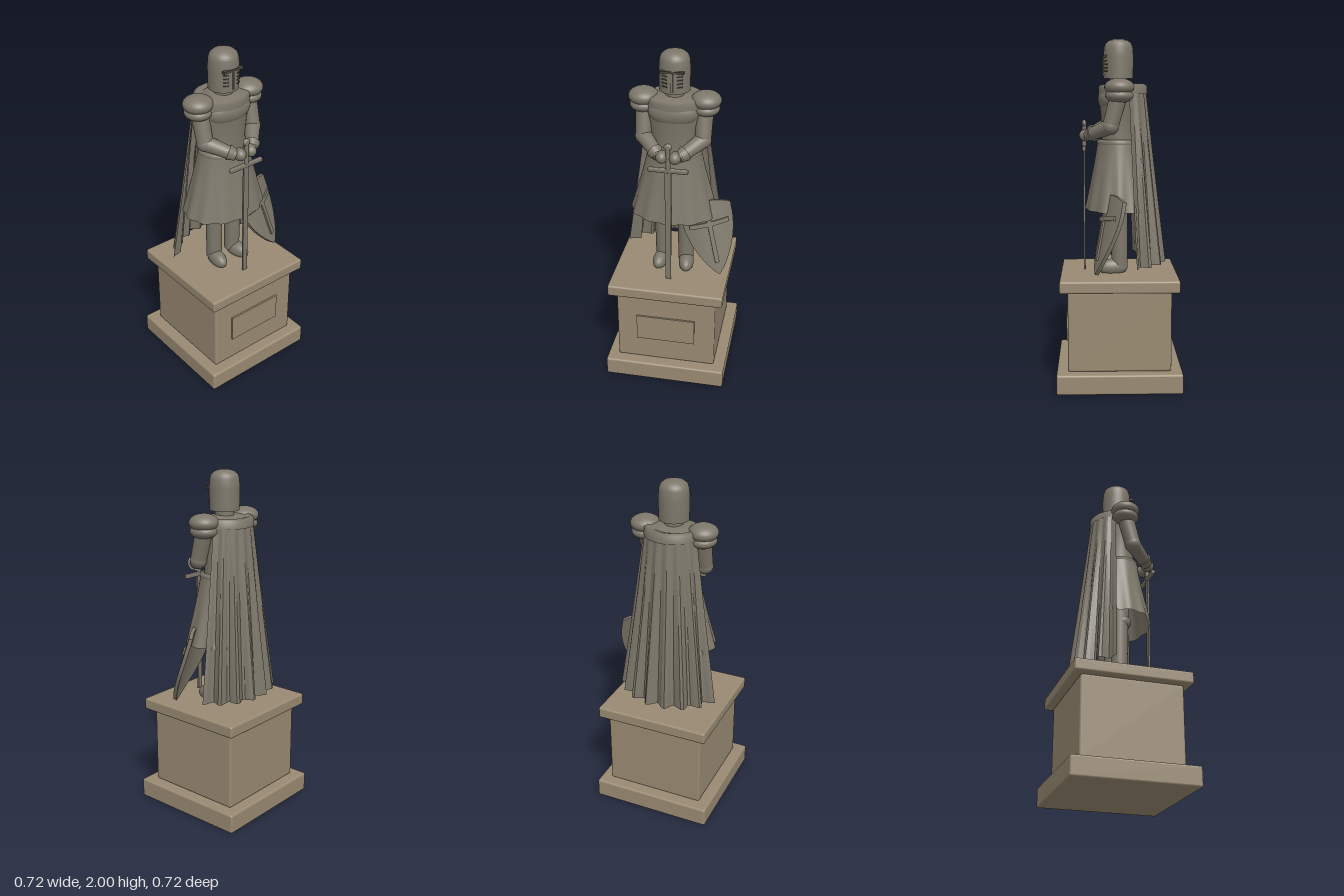
import * as THREE from 'three';
import { RoundedBoxGeometry } from 'three/addons/geometries/RoundedBoxGeometry.js';

const stone = new THREE.MeshStandardMaterial({ color: 0x998a72 });
const bronze = new THREE.MeshStandardMaterial({ color: 0x7d776a });
const dark = new THREE.MeshStandardMaterial({ color: 0x4c483f });
const cloth = new THREE.MeshStandardMaterial({ color: 0x7d776a, side: THREE.DoubleSide });
const clothFlat = cloth.clone();
clothFlat.flatShading = true;

const V = (x, y, z) => new THREE.Vector3(x, y, z);

function add(parent, name, geometry, material, x = 0, y = 0, z = 0) {
  const mesh = new THREE.Mesh(geometry, material);
  mesh.name = name;
  mesh.position.set(x, y, z);
  parent.add(mesh);
  return mesh;
}

const box = (w, h, d) => new THREE.BoxGeometry(w, h, d);
const ball = (rx, ry, rz) => new THREE.SphereGeometry(1, 28, 18).scale(rx, ry, rz);
const lathe = (points, segments = 40) =>
  new THREE.LatheGeometry(points.map(([r, y]) => new THREE.Vector2(r, y)), segments);

// Tapered round limb from a to b
function limb(parent, name, a, b, ra, rb) {
  const mesh = add(parent, name, new THREE.CylinderGeometry(rb, ra, a.distanceTo(b), 24), bronze);
  mesh.position.copy(a).add(b).multiplyScalar(0.5);
  mesh.quaternion.setFromUnitVectors(V(0, 1, 0), b.clone().sub(a).normalize());
  return mesh;
}

// Move every vertex of a geometry by a rule
function warp(geometry, rule) {
  const p = geometry.attributes.position;
  const v = V(0, 0, 0);
  for (let i = 0; i < p.count; i++) {
    rule(v.fromBufferAttribute(p, i));
    p.setXYZ(i, v.x, v.y, v.z);
  }
  geometry.computeVertexNormals();
  return geometry;
}

function pedestal() {
  const g = new THREE.Group();
  g.name = 'pedestal';
  const slab = (name, half, y0, y1) => add(g, name,
    new RoundedBoxGeometry(half * 2, y1 - y0, half * 2, 3, 0.012), stone, 0, (y0 + y1) / 2, 0);
  slab('plinthBase', 0.36, 0, 0.115);
  slab('plinthBody', 0.295, 0.115, 0.58);
  slab('plinthCap', 0.34, 0.58, 0.65);
  add(g, 'plaque', box(0.35, 0.165, 0.02), stone, 0, 0.347, 0.295);
  return g;
}

function helmet() {
  const g = new THREE.Group();
  g.name = 'helmet';
  add(g, 'neck', new THREE.CylinderGeometry(0.05, 0.055, 0.09, 28), bronze, 0, 1.765, 0);
  add(g, 'helmetShell', lathe([[0, 1.775], [0.085, 1.775], [0.085, 1.775], [0.087, 1.9], [0.083, 1.95],
    [0.075, 1.973], [0.055, 1.99], [0.03, 1.998], [0, 2]]), bronze);
  add(g, 'eyeSlit', box(0.13, 0.013, 0.02), dark, 0, 1.9, 0.08);
  add(g, 'visorRidge', box(0.012, 0.105, 0.012), bronze, 0, 1.845, 0.086);
  for (const s of [-1, 1]) for (let i = 0; i < 4; i++) {
    const hole = add(g, 'breathSlot', box(0.032, 0.007, 0.012), dark, s * 0.042, 1.815 + i * 0.02, 0.073);
    hole.rotation.y = s * 0.5;
  }
  return g;
}

function body() {
  const g = new THREE.Group();
  g.name = 'body';
  add(g, 'torso', lathe([[0.14, 1.38], [0.135, 1.48], [0.145, 1.58], [0.16, 1.66], [0.163, 1.72],
    [0.15, 1.738], [0.05, 1.75]]).scale(1, 1, 0.72), bronze);
  add(g, 'breastplate', ball(0.143, 0.085, 0.075), bronze, 0, 1.66, 0.045);
  add(g, 'belt', lathe([[0.15, 1.395], [0.157, 1.4], [0.157, 1.42], [0.14, 1.427]]).scale(1, 1, 0.8), bronze);

  // Gently fluted skirt, flaring to the hem
  const skirt = new THREE.CylinderGeometry(1, 1, 1, 96, 10, true);
  add(g, 'skirt', warp(skirt, (v) => {
    const t = 0.5 - v.y;
    const a = Math.atan2(v.z, v.x);
    const f = 1 + 0.025 * t * Math.cos(12 * a);
    const flare = Math.pow(t, 1.15);
    v.set(Math.cos(a) * (0.154 + 0.1 * flare) * f, 1.415 - 0.395 * t, Math.sin(a) * (0.122 + 0.07 * flare) * f);
  }), cloth);

  for (const s of [-1, 1]) {
    // Legs
    limb(g, 'leg', V(s * 0.068, 0.68, -0.005), V(s * 0.07, 1.2, 0), 0.046, 0.053);
    add(g, 'knee', ball(0.052, 0.045, 0.055), bronze, s * 0.07, 1.02, 0.01);
    const foot = warp(ball(0.045, 0.05, 0.088), (v) => { v.y = Math.max(v.y, -0.03); });
    add(g, 'foot', foot, bronze, s * 0.077, 0.68, 0.035).rotation.y = s * 0.12;

    // Shoulder plates
    add(g, 'pauldron', ball(0.085, 0.05, 0.085), bronze, s * 0.175, 1.725, 0);
    add(g, 'lowerPauldron', ball(0.076, 0.042, 0.08), bronze, s * 0.176, 1.678, 0);

    // Arms folded forward onto the sword
    const elbow = V(s * 0.168, 1.505, 0.05);
    const wrist = V(s * 0.06, 1.45, 0.175);
    limb(g, 'upperArm', V(s * 0.17, 1.69, 0), elbow, 0.05, 0.046);
    add(g, 'elbow', ball(0.048, 0.048, 0.048), bronze, ...elbow.toArray());
    limb(g, 'forearm', elbow, wrist, 0.046, 0.034);
    limb(g, 'gauntletCuff', V(s * 0.085, 1.463, 0.148), V(s * 0.055, 1.448, 0.18), 0.045, 0.03);
    add(g, 'hand', ball(0.034, 0.036, 0.042), bronze, s * 0.037, 1.45, 0.187);
  }
  return g;
}

// Pleated cape: an arc of folds that deepen toward the hem
function cape() {
  const g = new THREE.Group();
  g.name = 'capeGroup';
  const sheet = new THREE.PlaneGeometry(1, 1, 40, 10);
  add(g, 'cape', warp(sheet, (v) => {
    const u = v.x + 0.5;
    const t = 0.5 - v.y;
    const a = (20 + 140 * u) * Math.PI / 180;
    const fold = 1 + (0.02 + 0.07 * t) * Math.cos(u * 7 * Math.PI * 2);
    v.set(-Math.cos(a) * (0.163 + 0.135 * t) * fold, 1.725 - 1.015 * t, -Math.sin(a) * (0.155 + 0.102 * t) * fold);
  }), clothFlat);

  // Collar band behind the shoulders
  const collar = new THREE.PlaneGeometry(1, 1, 32, 3);
  add(g, 'capeCollar', warp(collar, (v) => {
    const a = (15 + 150 * (v.x + 0.5)) * Math.PI / 180;
    const r = [0.168, 0.165, 0.145, 0.115][Math.round((v.y + 0.5) * 3)];
    const y = [1.69, 1.735, 1.745, 1.735][Math.round((v.y + 0.5) * 3)];
    v.set(-Math.cos(a) * r, y, -Math.sin(a) * r);
  }), cloth);
  return g;
}

function sword() {
  const g = new THREE.Group();
  g.name = 'sword';
  g.position.z = 0.2;
  add(g, 'blade', warp(box(0.038, 0.72, 0.01), (v) => { if (v.y < 0) v.x *= 0.8; }), bronze, 0, 1.015, 0);
  add(g, 'crossguard', new RoundedBoxGeometry(0.226, 0.026, 0.022, 2, 0.006), bronze, 0, 1.375, 0);
  add(g, 'grip', new THREE.CylinderGeometry(0.013, 0.013, 0.15, 16), bronze, 0, 1.445, 0);
  add(g, 'pommel', ball(0.024, 0.021, 0.013), bronze, 0, 1.518, 0);
  return g;
}

// Curved pointed shield with a raised cross, leaning on the left leg
function shield() {
  const g = new THREE.Group();
  g.name = 'shield';
  const bow = (v) => { v.z -= 1.6 * v.x * v.x; };
  const width = (y) => 0.15 * Math.pow(Math.max(0, 1 - Math.pow(Math.max(0, (0.04 - y) / 0.36), 1.9)), 0.9);
  add(g, 'shieldBoard', warp(new THREE.BoxGeometry(2, 1, 0.022, 16, 20, 1), (v) => {
    const u = v.x;
    v.y = -0.32 + (v.y + 0.5) * (0.415 + 0.045 * (1 - u * u));
    v.x = u * width(v.y);
    bow(v);
  }), bronze);
  const bar = (name, w, h, y) => add(g, name,
    warp(new THREE.BoxGeometry(w, h, 0.016, 12, 1, 1).translate(0, y, 0.014), bow), bronze);
  bar('crossUpright', 0.026, 0.35, -0.065);
  bar('crossArm', 0.235, 0.026, 0);

  const up = V(-0.11, 0.44, -0.08).normalize();
  const normal = V(0.873, 0.314, -0.373).cross(up).normalize();
  const across = up.clone().cross(normal);
  g.quaternion.setFromRotationMatrix(new THREE.Matrix4().makeBasis(across, up, normal));
  g.position.set(0.217, 0.985, 0.075);
  return g;
}

export function createModel() {
  const model = new THREE.Group();
  model.name = 'knightStatue';
  model.add(pedestal(), body(), helmet(), cape(), sword(), shield());
  return model;
}
